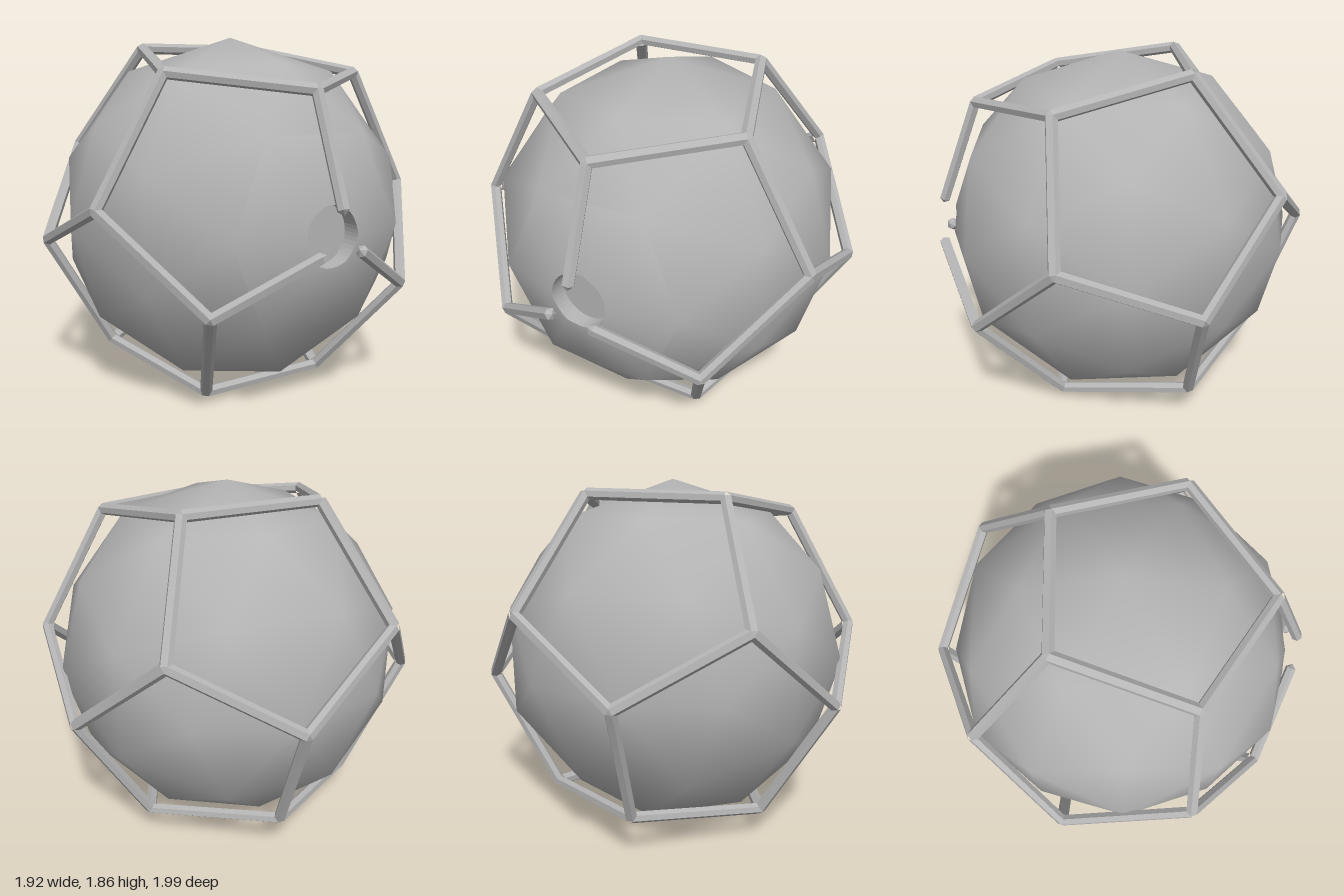
import * as THREE from 'three';

const CENTRE = new THREE.Vector3(0, 0.928, 0.027);
const SHELL_R = 0.928, FRAME_R = 1.0, HOLE_R = 0.15, FLOOR_Z = 0.79;

function meshFrom(points, material, name, smooth) {
  const g = new THREE.BufferGeometry().setFromPoints(points);
  if (smooth) g.setAttribute('normal', new THREE.Float32BufferAttribute(
    points.flatMap(p => p.clone().normalize().toArray()), 3));
  else g.computeVertexNormals();
  const m = new THREE.Mesh(g, material);
  m.name = name;
  return m;
}

// Coarse smooth ball whose front corner is replaced by a round socket
function buildBall(material) {
  const ball = new THREE.Group();
  ball.name = 'ball';
  const pos = new THREE.IcosahedronGeometry(SHELL_R, 1).rotateY(Math.PI / 2).getAttribute('position');
  const apex = new THREE.Vector3(0, 0, SHELL_R);
  const shell = [], wall = [], steps = 8;
  for (let i = 0; i < pos.count; i += 3) {
    const t = [0, 1, 2].map(k => new THREE.Vector3().fromBufferAttribute(pos, i + k));
    const k = t.findIndex(p => p.distanceTo(apex) < 0.01);
    if (k < 0) { shell.push(...t); continue; }
    const b = t[(k + 1) % 3], c = t[(k + 2) % 3];
    const rim = p => apex.clone().lerp(p, HOLE_R / Math.hypot(p.x, p.y));
    for (let s = 0; s < steps; s++) {
      const o0 = b.clone().lerp(c, s / steps), o1 = b.clone().lerp(c, (s + 1) / steps);
      const r0 = rim(o0), r1 = rim(o1);
      const f0 = r0.clone().setZ(FLOOR_Z), f1 = r1.clone().setZ(FLOOR_Z);
      shell.push(r0, o0, o1, r0, o1, r1);
      wall.push(r0, r1, f1, r0, f1, f0);
    }
  }
  ball.add(meshFrom(shell, material, 'shell', true), meshFrom(wall, material, 'socketWall', false));

  // Socket floor with a thin raised segment at its top
  const floor = new THREE.Mesh(new THREE.CircleGeometry(HOLE_R, 48), material);
  floor.position.z = FLOOR_Z;
  floor.name = 'socketFloor';
  const segment = new THREE.Shape().absarc(0, 0, 0.14, 0.65, Math.PI - 0.65, false);
  const plate = new THREE.Mesh(new THREE.ExtrudeGeometry(segment,
    { depth: 0.008, bevelEnabled: false, curveSegments: 16 }), material);
  plate.position.z = FLOOR_Z;
  plate.name = 'socketPlate';
  ball.add(floor, plate);
  return ball;
}

// Corners of a dodecahedron with one corner facing forward (placed last)
function cageCorners() {
  const list = [];
  const add = (z, deg) => {
    const r = Math.sqrt(1 - z * z), a = THREE.MathUtils.degToRad(deg);
    const v = new THREE.Vector3(r * Math.cos(a), r * Math.sin(a), z).multiplyScalar(FRAME_R);
    list.push(v.clone().negate(), v);
  };
  for (let k = 0; k < 3; k++) {
    add(Math.sqrt(5) / 3, 90 + 120 * k);
    add(1 / 3, 90 + 37.76 + 120 * k);
    add(1 / 3, 90 - 37.76 + 120 * k);
  }
  add(1, 0);
  return list;
}

// Six-sided bar, mitred where three meet; open bars end in a blunt tip
const PROFILE = [[0.031, 0], [0.017, 0.025], [-0.017, 0.025], [-0.031, 0], [-0.017, -0.025], [0.017, -0.025]];
function buildBar(a, b, open, material) {
  const mid = a.clone().add(b).multiplyScalar(0.5);
  const out = mid.clone().normalize();
  const dir = b.clone().sub(a).normalize();
  const side = out.clone().cross(dir);
  const half = a.distanceTo(b) / 2;
  const tilt = 0.5536; // angle from an edge middle to a face centre
  const ring = (corner, cut) => PROFILE.map(([t, r]) => {
    const p = mid.clone().addScaledVector(side, t).addScaledVector(out, r);
    if (cut !== undefined) return p.addScaledVector(dir, cut);
    const face = out.clone().multiplyScalar(Math.cos(tilt))
      .addScaledVector(side, Math.sign(t) * Math.sin(tilt));
    const n = corner.clone().cross(face);
    return p.addScaledVector(dir, -n.dot(p) / n.dot(dir));
  });
  const A = ring(a), B = ring(b, open ? half - 0.145 : undefined);
  const tip = mid.clone().addScaledVector(dir, half - 0.12);
  const pts = [];
  for (let i = 0; i < 6; i++) {
    const j = (i + 1) % 6;
    pts.push(A[i], A[j], B[j], A[i], B[j], B[i]);
    if (open) pts.push(B[i], B[j], tip);
  }
  return meshFrom(pts, material, open ? 'openBar' : 'cageBar', false);
}

export function createModel() {
  const model = new THREE.Group();
  model.name = 'cagedBall';
  const grey = new THREE.MeshStandardMaterial({ color: 0xb4b4b4 });
  grey.name = 'plain grey';

  const cage = new THREE.Group();
  cage.name = 'cage';
  const corners = cageCorners();
  corners.forEach((a, i) => corners.slice(i + 1).forEach(b => {
    if (a.distanceTo(b) < 0.8 * FRAME_R)
      cage.add(buildBar(a, b, b === corners[corners.length - 1], grey));
  }));

  const ball = buildBall(grey);
  ball.position.copy(CENTRE);
  cage.position.copy(CENTRE);
  model.add(ball, cage);
  return model;
}
